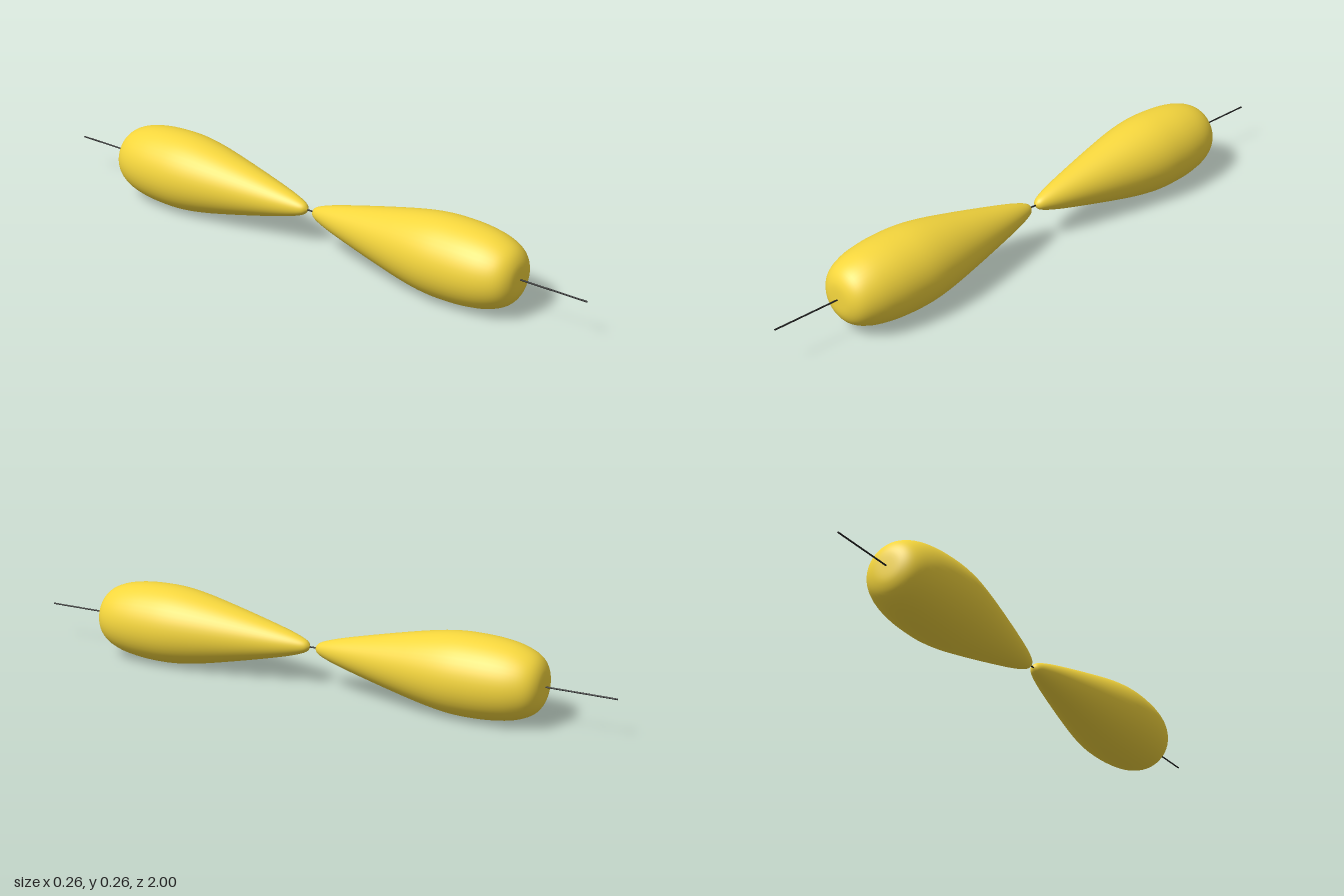
import * as THREE from 'three';

const AXIS_Y = 0.13;

export function createModel() {
  const group = new THREE.Group();
  const yellow = new THREE.MeshStandardMaterial({ color: 0xf5d63d });
  const dark = new THREE.MeshStandardMaterial({ color: 0x222222 });

  // Teardrop profile: radius, distance from the centre
  const outline = new THREE.SplineCurve([
    [0, 0.01], [0.017, 0.022], [0.031, 0.055], [0.047, 0.11], [0.069, 0.2],
    [0.092, 0.3], [0.113, 0.4], [0.125, 0.48], [0.128, 0.55], [0.124, 0.63],
    [0.111, 0.7], [0.087, 0.75], [0.05, 0.774], [0, 0.778],
  ].map(([r, d]) => new THREE.Vector2(r, d)));
  const points = outline.getPoints(70);
  points.forEach((p) => { p.x = Math.max(p.x, 0); });
  points[0].x = points[points.length - 1].x = 0;
  const lobeGeometry = new THREE.LatheGeometry(points, 48);

  // Two mirrored lobes, narrow ends meeting at the centre
  for (const side of [1, -1]) {
    const lobe = new THREE.Mesh(lobeGeometry, yellow);
    lobe.name = side > 0 ? 'frontLobe' : 'backLobe';
    lobe.rotation.x = side * Math.PI / 2;
    lobe.position.y = AXIS_Y;
    group.add(lobe);
  }

  // Thin rod through both lobes
  const rod = new THREE.Mesh(new THREE.CylinderGeometry(0.0025, 0.0025, 2, 12), dark);
  rod.name = 'axisRod';
  rod.rotation.x = Math.PI / 2;
  rod.position.y = AXIS_Y;
  group.add(rod);

  return group;
}
